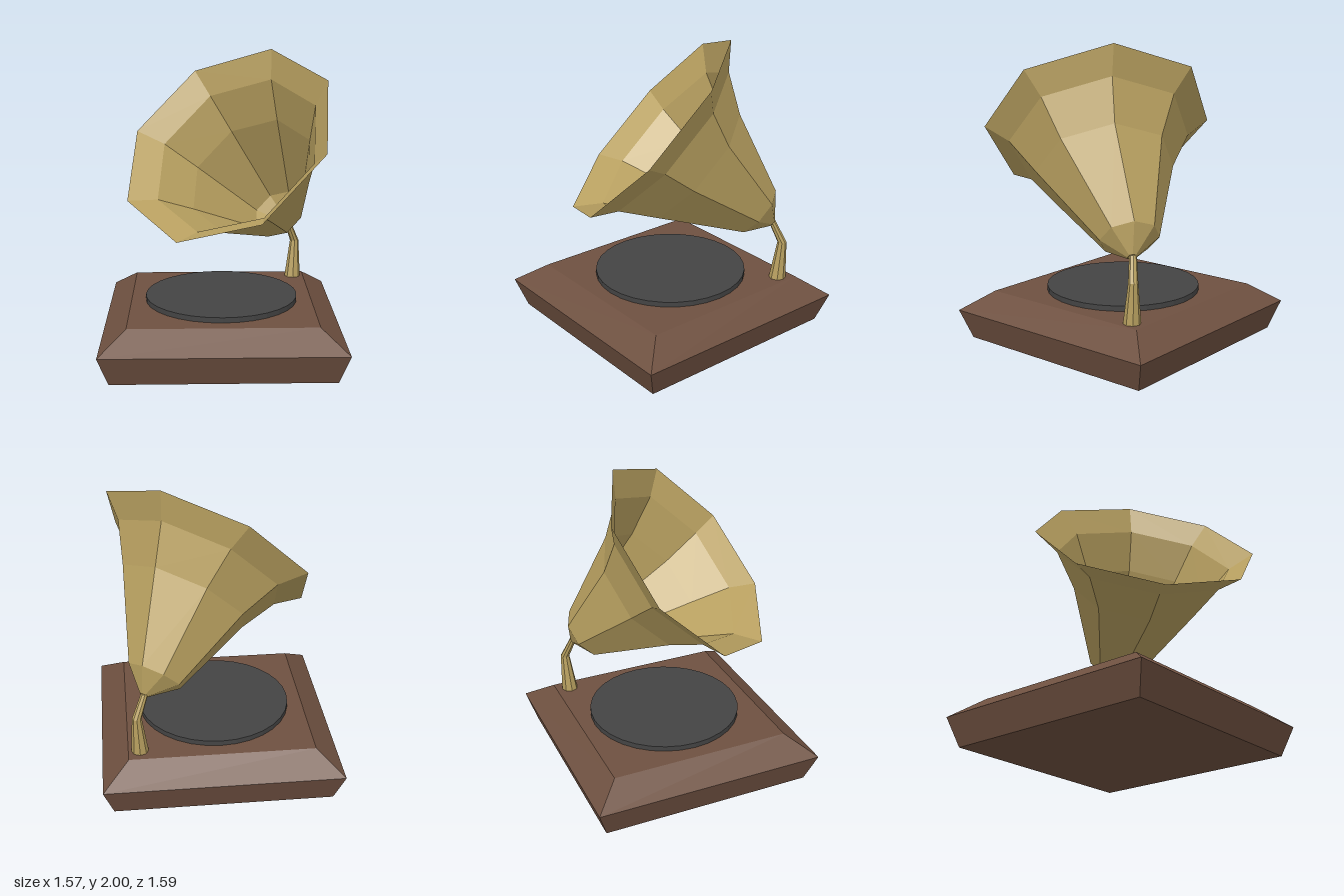
import * as THREE from 'three';

const V = (x, y, z) => new THREE.Vector3(x, y, z);

// Lofts a skin through regular n-sided rings [centre, radius]; u x v points along the loft.
function loft(rings, n, u, v, phase = 0, capStart = false, capEnd = false) {
  const pts = rings.map(([c, r]) => Array.from({ length: n }, (_, k) => {
    const a = phase + (k / n) * Math.PI * 2;
    return V(...c).addScaledVector(u, r * Math.cos(a)).addScaledVector(v, r * Math.sin(a));
  }));
  const pos = [];
  const tri = (...ps) => ps.forEach((p) => pos.push(p.x, p.y, p.z));
  const last = pts.length - 1;
  for (let k = 0; k < n; k++) {
    const m = (k + 1) % n;
    for (let i = 0; i < last; i++) {
      tri(pts[i][k], pts[i][m], pts[i + 1][m]);
      tri(pts[i][k], pts[i + 1][m], pts[i + 1][k]);
    }
    if (capStart) tri(V(...rings[0][0]), pts[0][m], pts[0][k]);
    if (capEnd) tri(V(...rings[last][0]), pts[last][k], pts[last][m]);
  }
  const g = new THREE.BufferGeometry();
  g.setAttribute('position', new THREE.Float32BufferAttribute(pos, 3));
  g.computeVertexNormals();
  return g;
}

export function createModel() {
  const model = new THREE.Group();
  model.name = 'gramophone';
  const wood = new THREE.MeshStandardMaterial({ color: 0x6e5040, flatShading: true });
  const black = new THREE.MeshStandardMaterial({ color: 0x444444, flatShading: true });
  const brass = new THREE.MeshStandardMaterial({ color: 0xb8a060, flatShading: true, side: THREE.DoubleSide });
  const add = (name, geometry, material) => {
    const mesh = new THREE.Mesh(geometry, material);
    mesh.name = name;
    model.add(mesh);
    return mesh;
  };
  const Z = V(0, 0, 1), X = V(1, 0, 0);

  // Wooden case: flared sides, then a sloping shoulder up to the flat top
  const q = Math.SQRT2;
  add('base', loft([
    [[0, 0, -0.01], 0.72 * q],
    [[0, 0.195, -0.01], 0.785 * q],
    [[0, 0.325, -0.013], 0.612 * q],
  ], 4, Z, X, Math.PI / 4, true, true), wood);

  // Record lying on the case
  add('record', new THREE.CylinderGeometry(0.515, 0.515, 0.05, 32), black)
    .position.set(0, 0.335, -0.015);

  // Tapering bent arm
  add('arm', loft([
    [[0.535, 0.32, -0.528], 0.057],
    [[0.548, 0.59, -0.547], 0.031],
    [[0.49, 0.745, -0.498], 0.024],
  ], 8, Z, X, 0, true, true), brass);

  // Eight-sided horn facing up, forward and to the right, open at the rim
  const u = V(0.785, 0, 0.62).normalize();
  const v = V(0.416, 0.74, -0.528).normalize();
  add('horn', loft([
    [[0.495, 0.73, -0.495], 0.03],
    [[0.42, 0.818, -0.415], 0.19],
    [[0.2, 1.18, -0.03], 0.456],
    [[0.09, 1.353, 0.109], 0.604],
    [[0.025, 1.44, 0.178], 0.76],
  ], 8, u, v, 0, true), brass);

  return model;
}
